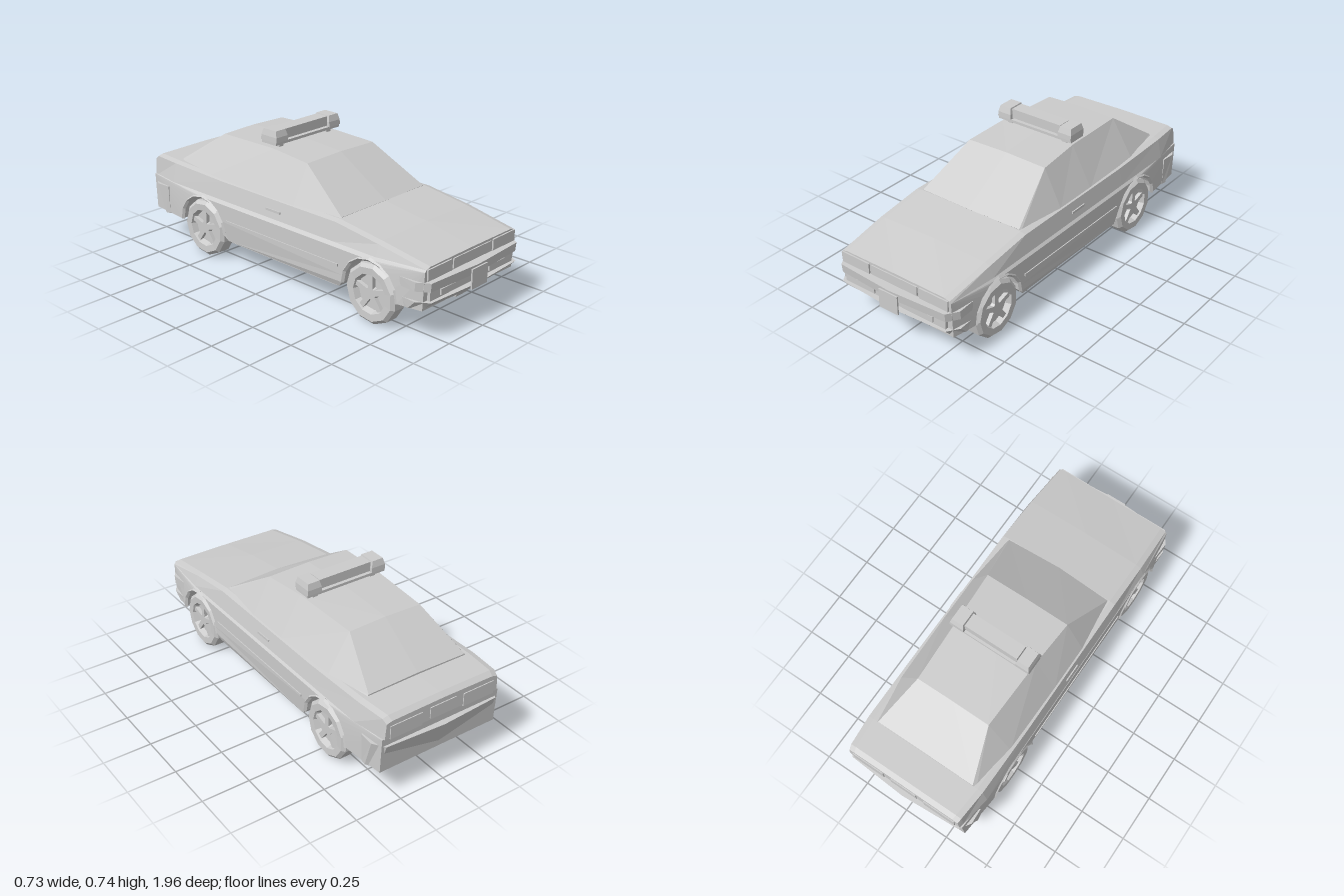
import * as THREE from 'three';

const grey = new THREE.MeshStandardMaterial({ color: 0xcccccc, flatShading: true, side: THREE.DoubleSide });
grey.name = 'light grey';

function add(parent, name, geometry, x = 0, y = 0, z = 0) {
  const mesh = new THREE.Mesh(geometry, grey);
  mesh.name = name;
  mesh.position.set(x, y, z);
  parent.add(mesh);
  return mesh;
}

const box = (parent, name, w, h, d, x, y, z) => add(parent, name, new THREE.BoxGeometry(w, h, d), x, y, z);

// Joins rings of [x, y, z] points into a closed skin with flat ends
function loft(rings) {
  const n = rings[0].length, index = [];
  for (let r = 0; r < rings.length - 1; r++) {
    for (let i = 0; i < n; i++) {
      const a = r * n + i, b = r * n + (i + 1) % n;
      index.push(a, b, a + n, b, b + n, a + n);
    }
  }
  const last = (rings.length - 1) * n;
  for (let i = 1; i < n - 1; i++) index.push(0, i + 1, i, last, last + i, last + i + 1);
  const g = new THREE.BufferGeometry();
  g.setAttribute('position', new THREE.Float32BufferAttribute(rings.flat(2), 3));
  g.setIndex(index);
  g.computeVertexNormals();
  return g;
}

// Extrudes a (z, y) side outline across x, from x0 to x1
function sideExtrude(shape, x0, x1) {
  const g = new THREE.ExtrudeGeometry(shape, { depth: x1 - x0, bevelEnabled: false, curveSegments: 7 });
  return g.rotateY(-Math.PI / 2).translate(x1, 0, 0);
}

// Moves vertices of a geometry by a rule
function bend(g, rule) {
  const p = g.attributes.position, v = new THREE.Vector3();
  for (let i = 0; i < p.count; i++) {
    rule(v.fromBufferAttribute(p, i));
    p.setXYZ(i, v.x, v.y, v.z);
  }
  g.computeVertexNormals();
  return g;
}

const FRONT = 0.61, REAR = -0.55, AXLE = 0.16;

function makeBody(car) {
  // Flanks with wheel arches
  const flank = new THREE.Shape();
  flank.moveTo(0.91, 0.17);
  flank.lineTo(0.78, 0.17);
  flank.absarc(FRONT, 0.17, 0.165, 0, Math.PI, false);
  flank.lineTo(0.42, 0.14);
  flank.lineTo(-0.36, 0.14);
  flank.absarc(REAR, 0.17, 0.165, 0, Math.PI, false);
  flank.lineTo(-0.95, 0.17);
  flank.lineTo(-0.96, 0.36);
  flank.lineTo(0.92, 0.36);
  for (const s of [1, -1]) {
    const g = sideExtrude(flank, s > 0 ? 0.25 : -0.36, s > 0 ? 0.36 : -0.25);
    add(car, s > 0 ? 'leftFlank' : 'rightFlank', bend(g, v => {
      if (Math.abs(v.x) < 0.3) return;
      if (Math.abs(v.z) > 0.8) v.x *= 0.94;
      if (v.y < 0.16) v.x *= 0.97;
    }));
  }

  // Floor and engine bay between the wheels
  const core = new THREE.Shape([[0.91, 0.17], [0.42, 0.15], [-0.36, 0.15], [-0.95, 0.17], [-0.96, 0.36], [0.92, 0.36]]
    .map(p => new THREE.Vector2(...p)));
  add(car, 'floor', sideExtrude(core, -0.25, 0.25));

  // Bonnet, shoulders and boot: [z, top y, half width, crown]
  const upper = [[0.92, 0.378, 0.33, 0.002], [0.65, 0.425, 0.34, 0.008], [0.39, 0.46, 0.342, 0.008],
    [-0.4, 0.46, 0.342, 0], [-0.78, 0.468, 0.338, 0.004], [-0.94, 0.468, 0.325, 0.004], [-0.965, 0.45, 0.32, 0.004]];
  add(car, 'upperBody', loft(upper.map(([z, y, w, c]) => {
    const b = Math.abs(z) > 0.9 ? w + 0.008 : 0.36;
    return [[-b, 0.36, z], [-w, y - 0.008, z], [-w + 0.03, y, z], [0, y + c, z], [w - 0.03, y, z], [w, y - 0.008, z], [b, 0.36, z]];
  })));

  // Cabin: [z, roof y, roof half width, base half width]
  const cabin = [[0.385, 0.462, 0.30, 0.31], [0.1, 0.643, 0.235, 0.335], [-0.15, 0.658, 0.22, 0.335],
    [-0.53, 0.648, 0.205, 0.33], [-0.78, 0.475, 0.28, 0.30]];
  add(car, 'cabin', loft(cabin.map(([z, y, w, b]) =>
    [[-b, 0.45, z], [-w, y, z], [0, y + 0.006, z + (z > 0.3 ? 0.012 : 0)], [w, y, z], [b, 0.45, z]])));
}

// Wrap-around bumper band; end is 1 at the front and -1 at the back
function bumperBand(car, name, end, y0, y1, tuck) {
  const tip = end > 0 ? 0.965 : 0.99, start = end > 0 ? 0.79 : 0.83;
  const plan = [[-0.355, start], [-0.36, tip - 0.08], [-0.32, tip - 0.02], [0, tip], [0.32, tip - 0.02], [0.36, tip - 0.08], [0.355, start]];
  const ring = (y, t) => plan.map(([x, z]) => [x * (1 - t * 0.3), y, end * (z > 0.85 ? z - t : z)]);
  add(car, name, loft([ring(y0, tuck), ring(y1, 0)]));
}

function makeEnds(car) {
  bumperBand(car, 'frontBumperTop', 1, 0.265, 0.31, 0.005);
  bumperBand(car, 'frontBumperBottom', 1, 0.17, 0.215, 0.045);
  bumperBand(car, 'rearBumper', -1, 0.165, 0.32, 0.05);
  box(car, 'frontBumperInfill', 0.62, 0.06, 0.1, 0, 0.24, 0.88);
  box(car, 'frontPlate', 0.115, 0.1, 0.008, 0, 0.25, 0.967);
  add(car, 'airDam', loft([[0.9, 0.055], [0.8, 0.05]].map(([z, w]) =>
    [[-w, 0.18, z], [w, 0.18, z], [w * 0.8, 0.125, z - 0.03], [-w * 0.8, 0.125, z - 0.03]])));
  box(car, 'grille', 0.28, 0.05, 0.008, 0, 0.343, 0.922);
  box(car, 'rearPlate', 0.15, 0.06, 0.008, 0, 0.40, -0.966);
  for (const s of [1, -1]) {
    box(car, 'headlight', 0.17, 0.055, 0.008, s * 0.24, 0.343, 0.924);
    box(car, 'fogLight', 0.12, 0.03, 0.008, s * 0.18, 0.24, 0.934);
    box(car, 'tailLight', 0.18, 0.07, 0.008, s * 0.21, 0.39, -0.966);
  }
}

function makeSideTrim(car) {
  for (const s of [1, -1]) {
    box(car, 'doorHandle', 0.008, 0.012, 0.1, s * 0.353, 0.40, -0.02);
    box(car, 'sideMoulding', 0.008, 0.012, 0.78, s * 0.361, 0.25, 0.03);
    box(car, 'sill', 0.03, 0.03, 0.74, s * 0.33, 0.15, 0.03);
    for (const z of [FRONT, REAR]) {
      const lip = new THREE.TorusGeometry(0.166, 0.011, 4, 8, Math.PI).rotateY(Math.PI / 2);
      add(car, 'archLip', lip, s * 0.355, 0.17, z);
    }
  }
}

function makeWheel(car, side, z) {
  const wheel = new THREE.Group();
  wheel.name = (z > 0 ? 'front' : 'rear') + (side > 0 ? 'LeftWheel' : 'RightWheel');
  const profile = [[0, 0.035], [0.03, 0.035], [0.035, 0.015], [0.088, 0.015], [0.1, 0.044], [0.135, 0.046],
    [0.152, 0.03], [0.152, -0.035], [0.135, -0.048], [0, -0.04]].map(p => new THREE.Vector2(...p));
  add(wheel, 'tyreAndRim', new THREE.LatheGeometry(profile, 11).rotateZ(-Math.PI / 2));
  for (let i = 0; i < 5; i++) {
    const spoke = new THREE.BoxGeometry(0.02, 0.07, 0.026).translate(0.025, 0.06, 0).rotateX(i * Math.PI * 0.4);
    add(wheel, 'spoke', spoke);
  }
  wheel.position.set(side * 0.31, AXLE, z);
  if (side < 0) wheel.rotation.y = Math.PI;
  car.add(wheel);
}

function makeUnderside(car) {
  for (const z of [FRONT, REAR]) {
    add(car, 'axle', new THREE.CylinderGeometry(0.02, 0.02, 0.56, 6).rotateZ(Math.PI / 2), 0, 0.165, z);
  }
  for (const s of [1, -1]) box(car, 'chassisRail', 0.04, 0.02, 0.8, s * 0.2, 0.145, 0.02);
  const path = new THREE.CatmullRomCurve3([[0.06, 0.145, 0.5], [0.06, 0.145, -0.3], [0.14, 0.15, -0.6], [0.14, 0.16, -0.9]]
    .map(p => new THREE.Vector3(...p)));
  add(car, 'exhaustPipe', new THREE.TubeGeometry(path, 12, 0.012, 5));
  box(car, 'silencer', 0.1, 0.03, 0.16, 0.06, 0.145, -0.05);
}

function makeLightBar(car) {
  const bar = new THREE.Group();
  bar.name = 'lightBar';
  // Tapered lamp housing
  const lamp = (name, x, w, h, d) => {
    const ring = (y, k) => [[-w / 2 * k, y, -d / 2 * k], [w / 2 * k, y, -d / 2 * k], [w / 2 * k, y, d / 2 * k], [-w / 2 * k, y, d / 2 * k]];
    add(bar, name, loft([ring(0, 1), ring(h * 0.45, 0.98), ring(h, 0.8)]), x, 0.692, -0.175);
  };
  for (const s of [1, -1]) {
    lamp('endLamp', s * 0.188, 0.08, 0.058, 0.11);
    box(bar, 'barFoot', 0.03, 0.035, 0.06, s * 0.17, 0.667, -0.175);
  }
  box(bar, 'centreLamp', 0.3, 0.05, 0.075, 0, 0.722, -0.175);
  box(bar, 'barBase', 0.455, 0.014, 0.1, 0, 0.685, -0.175);
  car.add(bar);
}

export function createModel() {
  const car = new THREE.Group();
  car.name = 'patrolCar';
  makeBody(car);
  makeEnds(car);
  makeSideTrim(car);
  for (const z of [FRONT, REAR]) for (const side of [1, -1]) makeWheel(car, side, z);
  makeUnderside(car);
  makeLightBar(car);
  return car;
}
